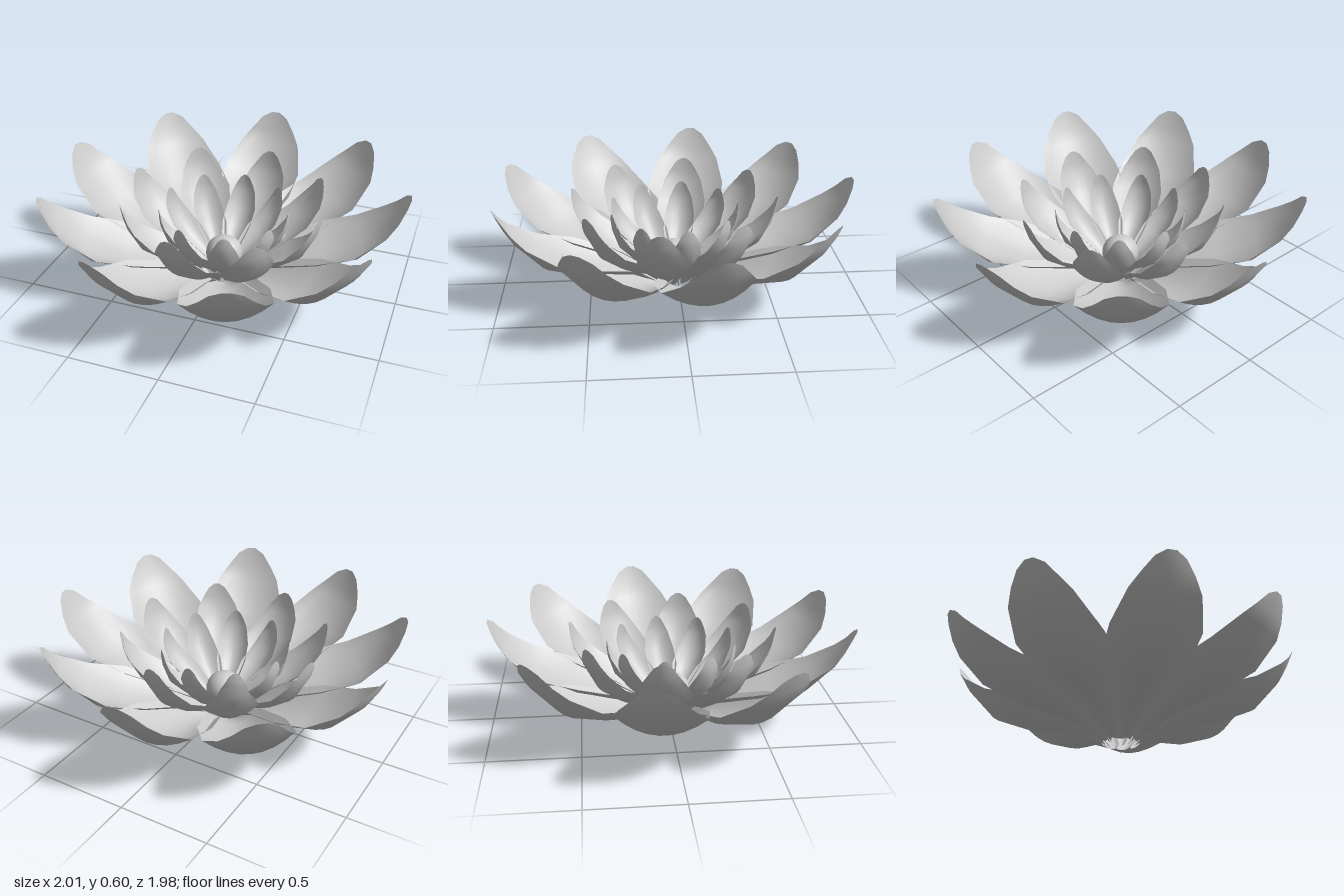
import * as THREE from 'three';

// Petal cross-sections from base to tip: distance out, height, half width, edge lift
const ROWS = [
  [0, 0, 0.03, 0.005],
  [0.2, 0.095, 0.149, 0.08],
  [0.46, 0.155, 0.234, 0.115],
  [0.68, 0.25, 0.238, 0.09],
  [0.82, 0.41, 0.186, 0.038],
  [0.865, 0.49, 0.135, 0.018],
  [0.897, 0.562, 0.08, 0.008],
  [0.91, 0.595, 0.025, 0],
];
const COLS = 8;

// Cupped sheet pointing along +z, its sides lifted along the profile's normal
function petalGeometry() {
  const pos = [], index = [];
  ROWS.forEach(([out, up, half, lift], i) => {
    const a = ROWS[Math.max(i - 1, 0)], b = ROWS[Math.min(i + 1, ROWS.length - 1)];
    const slope = Math.atan2(b[1] - a[1], b[0] - a[0]);
    for (let j = 0; j <= COLS; j++) {
      const u = (j / COLS) * 2 - 1;
      const d = lift * u * u;
      pos.push(half * u, up + d * Math.cos(slope), out - d * Math.sin(slope));
    }
  });
  for (let i = 0; i < ROWS.length - 1; i++) {
    for (let j = 0; j < COLS; j++) {
      const a = i * (COLS + 1) + j, c = a + COLS + 1;
      index.push(a, c, a + 1, a + 1, c, c + 1);
    }
  }
  const geo = new THREE.BufferGeometry();
  geo.setAttribute('position', new THREE.Float32BufferAttribute(pos, 3));
  geo.setIndex(index);
  geo.computeVertexNormals();
  return geo;
}

export function createModel() {
  const flower = new THREE.Group();
  flower.name = 'flower';
  const petalMat = new THREE.MeshStandardMaterial({ color: 0xcccccc, side: THREE.DoubleSide });
  const geo = petalGeometry();

  // Three rings of petals, smaller and steeper towards the middle
  const rings = [
    { name: 'outer', count: 9, turn: 0, tilt: 0, size: 1, width: 1, r: 0.104, y: 0 },
    { name: 'middle', count: 8, turn: 10, tilt: 14.3, size: 0.668, width: 0.61, r: 0.09, y: 0 },
    { name: 'inner', count: 9, turn: 1, tilt: 22.8, size: 0.503, width: 0.37, r: 0.06, y: 0.01 },
  ];
  for (const ring of rings) {
    const group = new THREE.Group();
    group.name = ring.name + 'Petals';
    for (let i = 0; i < ring.count; i++) {
      const pivot = new THREE.Group();
      pivot.rotation.y = Math.PI - THREE.MathUtils.degToRad(ring.turn + (i * 360) / ring.count);
      const petal = new THREE.Mesh(geo, petalMat);
      petal.name = ring.name + 'Petal';
      petal.position.set(0, ring.y, ring.r);
      petal.rotation.x = -THREE.MathUtils.degToRad(ring.tilt);
      petal.scale.set(ring.width, ring.size, ring.size);
      pivot.add(petal);
      group.add(pivot);
    }
    flower.add(group);
  }

  // Round heart of the flower
  const heart = new THREE.Mesh(
    new THREE.SphereGeometry(0.105, 24, 16),
    new THREE.MeshStandardMaterial({ color: 0xcccccc })
  );
  heart.name = 'heart';
  heart.position.y = 0.14;
  flower.add(heart);

  // Centre the odd-numbered ring front to back
  flower.position.z = 0.023;
  const model = new THREE.Group();
  model.name = 'waterLily';
  model.add(flower);
  return model;
}
